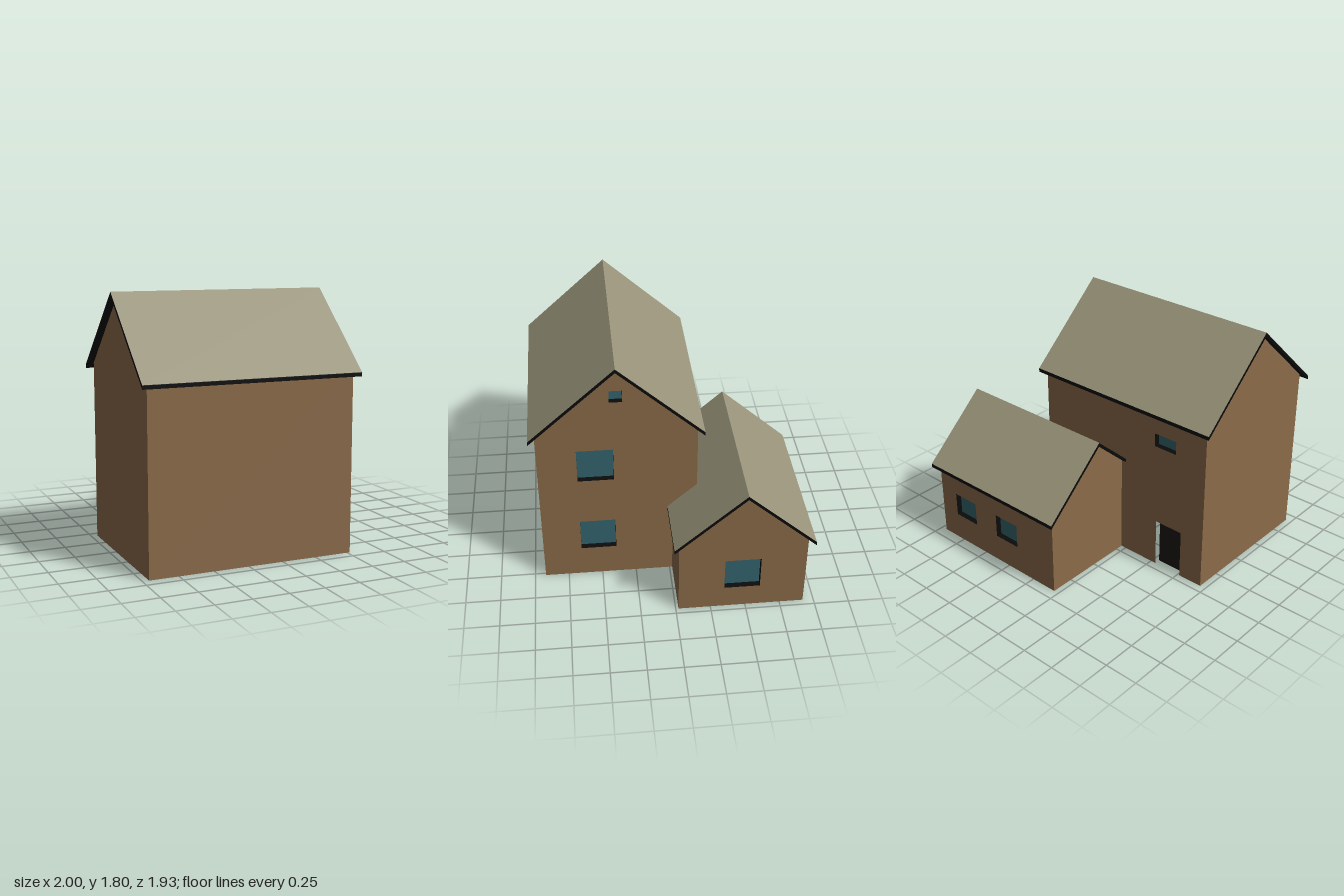
import * as THREE from 'three';

const mat = (color, side = THREE.DoubleSide) =>
  new THREE.MeshStandardMaterial({ color, side, flatShading: true });

const SLOPE = 0.9, THICK = 0.026, RECESS = 0.045;

export function createModel() {
  const model = new THREE.Group();
  const wallMat = mat(0x8b6b4a), roofMat = mat(0x99947a);
  const trimMat = mat(0x0b0b0b, THREE.FrontSide), glassMat = mat(0x33646d), doorMat = mat(0x1c1815);

  const add = (name, geometry, material, parent = model) => {
    const mesh = new THREE.Mesh(geometry, material);
    mesh.name = name;
    parent.add(mesh);
    return mesh;
  };
  const poly = (pts) => new THREE.Shape(pts.map(([a, b]) => new THREE.Vector2(a, b)));
  const rect = (a0, a1, b0, b1) => [[a0, b0], [a1, b0], [a1, b1], [a0, b1]];
  // turns a (z, y) drawing into the plane at x
  const toSide = (geometry, x) => geometry.rotateY(-Math.PI / 2).translate(x, 0, 0);
  // extrudes a (z, y) profile from x0 to x1
  const alongX = (pts, x0, x1) =>
    toSide(new THREE.ExtrudeGeometry(poly(pts), { depth: x1 - x0, bevelEnabled: false }), x1);

  // flat wall with openings [a0, a1, b0, b1]; place() moves it into position
  function wall(name, pts, place, openings = []) {
    const shape = poly(pts);
    openings.forEach((o) => shape.holes.push(poly(rect(...o))));
    add(name, place(new THREE.ShapeGeometry(shape)), wallMat);
  }

  // recessed window: dark reveal behind the wall plane, glass at its back
  // the drawing's +z points into the house
  function recessedWindow([a0, a1, b0, b1], place) {
    const group = new THREE.Group();
    group.name = 'window';
    const t = 0.006;
    const ring = poly(rect(a0 - t, a1 + t, b0 - t, b1 + t));
    ring.holes.push(poly(rect(a0, a1, b0, b1)));
    const reveal = new THREE.ExtrudeGeometry(ring, { depth: RECESS, bevelEnabled: false });
    add('windowReveal', place(reveal.translate(0, 0, 0.001)), trimMat, group);
    const glass = new THREE.ShapeGeometry(poly(rect(a0, a1, b0, b1)));
    add('windowGlass', place(glass.translate(0, 0, RECESS - 0.002)), glassMat, group);
    model.add(group);
  }

  // roof height rule for a ridge at (zr, yr)
  const roofY = (r, z) => r.y - SLOPE * Math.abs(z - r.z);

  function roofSheet(r, x0, x1, zEnd) {
    const g = new THREE.BufferGeometry();
    const y0 = r.y + 0.002, y1 = roofY(r, zEnd) + 0.002;
    g.setAttribute('position', new THREE.Float32BufferAttribute(
      [x0, y1, zEnd, x1, y1, zEnd, x1, y0, r.z, x0, y0, r.z], 3));
    g.setIndex(zEnd > r.z ? [0, 1, 2, 0, 2, 3] : [0, 2, 1, 0, 3, 2]);
    g.computeVertexNormals();
    add('roofSlope', g, roofMat);
  }

  // black chevron band along a gable end
  function rake(r, x0, x1, zBack, zFront) {
    const yb = roofY(r, zBack), yf = roofY(r, zFront);
    add('gableTrim', alongX([[zBack, yb - THICK], [r.z, r.y - THICK], [zFront, yf - THICK],
      [zFront, yf], [r.z, r.y], [zBack, yb]], x0, x1), trimMat);
  }

  // black strip from the eave edge back to the wall
  function eave(r, x0, x1, zEdge, zWall) {
    const ye = roofY(r, zEdge), yw = roofY(r, zWall);
    add('eaveTrim', alongX([[zEdge, ye - THICK], [zWall, yw - THICK], [zWall, yw], [zEdge, ye]], x0, x1), trimMat);
  }

  const main = { z: 0.365, y: 1.802 }, wing = { z: -0.475, y: 1.036 };
  const under = (r, z) => roofY(r, z) - THICK / 2;
  const gable = (r, z0, z1) => [[z0, 0], [z1, 0], [z1, under(r, z1)], [r.z, under(r, r.z)], [z0, under(r, z0)]];

  // main house extents
  const MX0 = -0.955, MX1 = 0.52, MZ0 = -0.192, MZ1 = 0.922;
  // wing extents
  const WX0 = -0.21, WX1 = 0.955, WZ0 = -0.922, WZ1 = -0.02;
  const sideAt = (x) => (g) => toSide(g, x);
  const flatAt = (z) => (g) => g.translate(0, 0, z);

  // main house walls
  const mainSide = [[0.392, 0.647, 0.245, 0.5], [0.392, 0.647, 0.87, 1.13], [0.32, 0.41, 1.52, 1.61]];
  const mainBack = [[-0.7, -0.515, 0.99, 1.09]];
  const door = [-0.765, -0.54, 0, 0.37];
  wall('mainLeftWall', gable(main, MZ0, MZ1), sideAt(MX1), mainSide);
  wall('mainRightWall', gable(main, MZ0, MZ1), sideAt(MX0));
  wall('mainFrontWall', rect(MX0, MX1, 0, under(main, MZ1)), flatAt(MZ1));
  const top = under(main, MZ0);
  wall('mainBackWall', [[MX0, 0], [door[0], 0], [door[0], door[3]], [door[1], door[3]], [door[1], 0],
    [MX1, 0], [MX1, top], [MX0, top]], flatAt(MZ0), mainBack);
  add('door', new THREE.ShapeGeometry(poly(rect(...door))).translate(0, 0, MZ0 + RECESS), doorMat);

  // wing walls, stopping at the main house
  const wingSide = [[-0.6, -0.345, 0.175, 0.43]];
  const wingBack = [[0.585, 0.8, 0.21, 0.39], [0.152, 0.367, 0.21, 0.39]];
  wall('wingLeftWall', gable(wing, WZ0, WZ1), sideAt(WX1), wingSide);
  wall('wingRightWall', gable(wing, WZ0, MZ0), sideAt(WX0));
  wall('wingFrontWall', rect(MX1, WX1, 0, under(wing, WZ1)), flatAt(WZ1));
  wall('wingBackWall', rect(WX0, WX1, 0, under(wing, WZ0)), flatAt(WZ0), wingBack);

  // windows
  mainSide.forEach((o) => recessedWindow(o, sideAt(MX1)));
  wingSide.forEach((o) => recessedWindow(o, sideAt(WX1)));
  mainBack.forEach((o) => recessedWindow(o, flatAt(MZ0)));
  wingBack.forEach((o) => recessedWindow(o, flatAt(WZ0)));

  // main roof
  const RX0 = -1, RX1 = 0.562, RZ0 = -0.237, RZ1 = 0.967;
  for (const [edge, w] of [[RZ0, MZ0], [RZ1, MZ1]]) {
    roofSheet(main, RX0, RX1, edge);
    eave(main, RX0, RX1, edge, w);
  }
  rake(main, RX0, MX0, RZ0, RZ1);
  rake(main, MX1, RX1, RZ0, RZ1);

  // wing roof, cut back where it meets the main house
  const QX0 = -0.25, QX1 = 1, QZ0 = -0.967, QZ1 = 0.017;
  roofSheet(wing, QX0, QX1, QZ0);
  roofSheet(wing, QX0, MX1, MZ0);
  roofSheet(wing, MX1, QX1, QZ1);
  eave(wing, QX0, QX1, QZ0, WZ0);
  eave(wing, MX1, QX1, QZ1, WZ1);
  rake(wing, QX0, WX0, QZ0, MZ0);
  rake(wing, WX1, QX1, QZ0, QZ1);

  return model;
}
